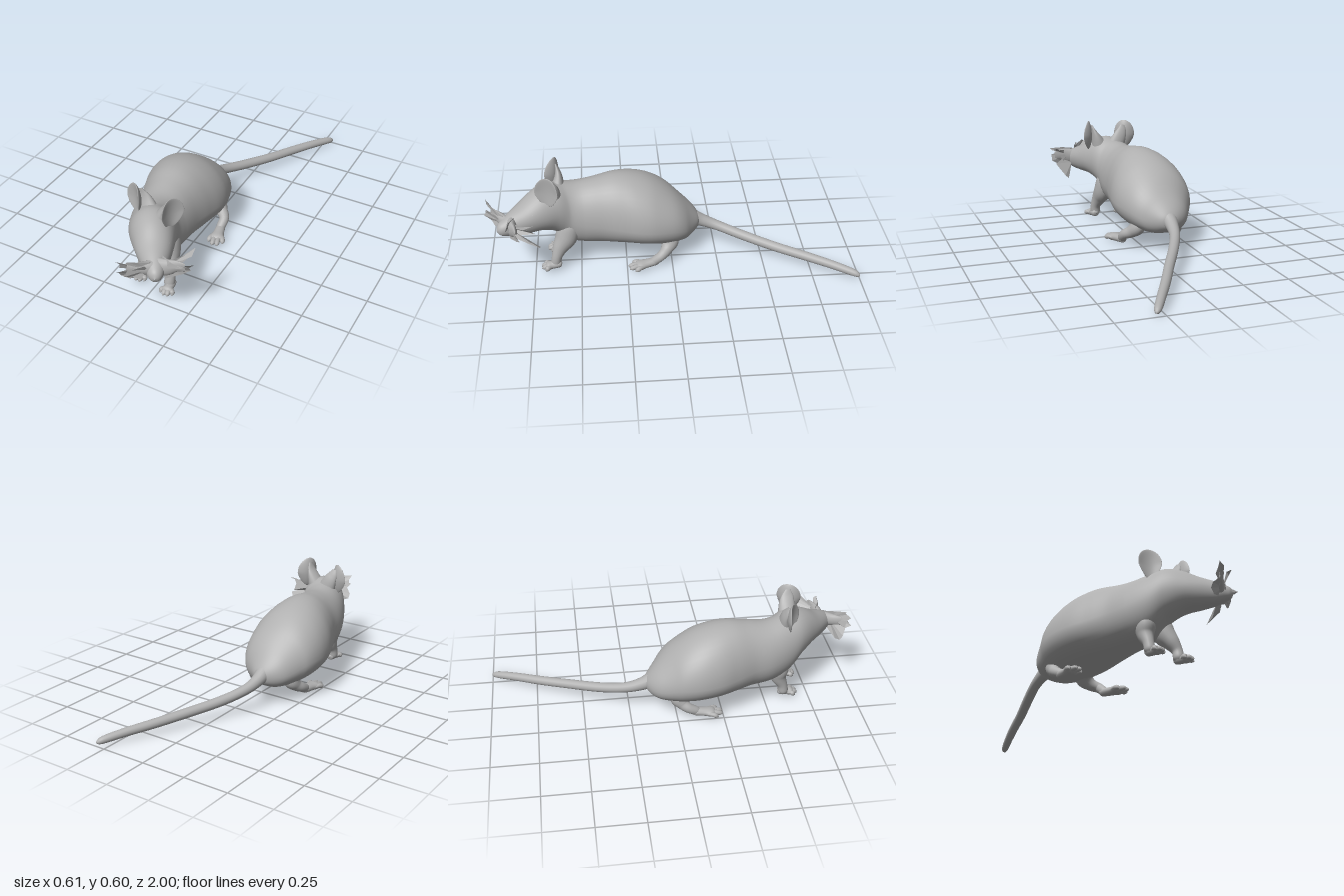
import * as THREE from 'three';

const grey = new THREE.MeshStandardMaterial({ color: 0xb0b0b0 });
grey.name = 'plain grey';
const greySheet = new THREE.MeshStandardMaterial({ color: 0xb0b0b0, side: THREE.DoubleSide });
greySheet.name = 'plain grey sheet';

const V = (x, y, z) => new THREE.Vector3(x, y, z);

function add(parent, name, geometry, material = grey) {
  const mesh = new THREE.Mesh(geometry, material);
  mesh.name = name;
  parent.add(mesh);
  return mesh;
}

// Smooth skin through stations [x, y, z, halfWidth, up, down]; up and down default to halfWidth.
// A belly exponent below 1 squares off the lower half of each ring.
function loft(stations, { ref = V(0, 1, 0), level = false, belly = 1, rings = 40, sides = 24 } = {}) {
  const path = new THREE.CatmullRomCurve3(stations.map(s => V(s[0], s[1], s[2])), false, 'catmullrom', 0.5);
  const size = new THREE.CatmullRomCurve3(
    stations.map(s => V(s[3], s[4] ?? s[3], s[5] ?? s[4] ?? s[3])), false, 'catmullrom', 0.5);
  const pos = [], index = [];
  for (let i = 0; i <= rings; i++) {
    const t = i / rings, c = path.getPoint(t), r = size.getPoint(t);
    const dir = path.getTangent(t);
    if (level) dir.setY(0).normalize();
    const side = ref.clone().cross(dir).normalize();
    const up = dir.clone().cross(side);
    for (let j = 0; j < sides; j++) {
      const a = j / sides * Math.PI * 2, s = Math.sin(a), k0 = Math.cos(a);
      const across = s < 0 ? Math.sign(k0) * Math.abs(k0) ** belly : k0;
      const p = c.clone().addScaledVector(side, across * Math.max(r.x, 0.0005))
        .addScaledVector(up, s * Math.max(s > 0 ? r.y : r.z, 0.0005));
      pos.push(p.x, p.y, p.z);
      if (i < rings) {
        const k = i * sides, n = (j + 1) % sides;
        index.push(k + j, k + n, k + sides + j, k + n, k + sides + n, k + sides + j);
      }
    }
  }
  const g = new THREE.BufferGeometry();
  g.setAttribute('position', new THREE.Float32BufferAttribute(pos, 3));
  g.setIndex(index);
  g.computeVertexNormals();
  return g;
}

// Cupped ear: a thin disc narrowing to a stalk, with its rim curling forward.
function earGeometry(w, h) {
  const g = new THREE.SphereGeometry(1, 32, 24), p = g.attributes.position;
  for (let i = 0; i < p.count; i++) {
    const x = p.getX(i), y = p.getY(i), z = p.getZ(i);
    const taper = y < 0 ? 1 + 0.3 * y : 1;
    p.setXYZ(i, x * w * taper, y * h, z * 0.01 + 0.03 * (x * x + 0.4 * y * y) - 0.015);
  }
  g.computeVertexNormals();
  return g;
}

// Ragged sheet: a fan from one root to a jagged edge.
function sheet(root, edge) {
  const pos = [];
  for (let i = 0; i + 1 < edge.length; i++) pos.push(...root, ...edge[i], ...edge[i + 1]);
  const g = new THREE.BufferGeometry();
  g.setAttribute('position', new THREE.Float32BufferAttribute(pos, 3));
  g.computeVertexNormals();
  return g;
}

// Paw with a flattened palm and stubby toes, facing +z from its heel.
function paw(name, x, y, z, yaw, length, width) {
  const g = new THREE.Group();
  g.name = name;
  g.position.set(x, y, z);
  g.rotation.y = yaw;
  add(g, 'palm', loft([
    [0, 0.008, -0.025, 0.001], [0, 0.008, -0.014, 0.022, 0.02],
    [0, 0.003, length * 0.35, width * 0.6, 0.022], [0, 0, length * 0.65, width * 0.8, 0.02],
    [0, -0.004, length * 0.82, 0.001]], { rings: 16, sides: 14 }));
  for (const k of [-1.5, -0.5, 0.5, 1.5]) {
    const reach = length * (Math.abs(k) > 1 ? 0.85 : 1.02), s = k * width;
    add(g, 'toe', loft([
      [s * 0.3, 0, length * 0.4, 0.008], [s * 0.42, 0.003, length * 0.62, 0.013],
      [s * 0.5, -0.003, reach - 0.012, 0.013], [s * 0.53, -0.011, reach, 0.001]], { rings: 10, sides: 10 }));
  }
  return g;
}

export function createModel() {
  const mouse = new THREE.Group();
  mouse.name = 'mouse';

  // Body, neck and head, turning towards +x at the nose
  add(mouse, 'bodyAndHead', loft([
    [-0.10, 0.18, -0.168, 0.001],
    [-0.10, 0.18, -0.15, 0.055, 0.045, 0.045],
    [-0.10, 0.185, -0.09, 0.13, 0.115, 0.085],
    [-0.093, 0.22, 0.0, 0.188, 0.172, 0.13],
    [-0.092, 0.235, 0.1, 0.215, 0.225, 0.138],
    [-0.088, 0.245, 0.2, 0.212, 0.25, 0.138],
    [-0.077, 0.255, 0.3, 0.187, 0.25, 0.14],
    [-0.065, 0.27, 0.4, 0.16, 0.22, 0.148],
    [-0.055, 0.28, 0.5, 0.145, 0.197, 0.152],
    [-0.036, 0.31, 0.58, 0.13, 0.177, 0.157],
    [0.0, 0.36, 0.65, 0.12, 0.145, 0.137],
    [0.045, 0.365, 0.72, 0.105, 0.12, 0.1],
    [0.09, 0.36, 0.79, 0.084, 0.08, 0.085],
    [0.128, 0.35, 0.85, 0.06, 0.06, 0.066],
    [0.154, 0.345, 0.89, 0.042, 0.042, 0.046],
    [0.168, 0.34, 0.915, 0.025, 0.028, 0.028],
    [0.174, 0.34, 0.928, 0.001]], { level: true, belly: 0.8, rings: 90, sides: 40 }));

  // Tail
  add(mouse, 'tail', loft([
    [-0.10, 0.20, -0.1, 0.05], [-0.10, 0.165, -0.18, 0.035], [-0.08, 0.135, -0.27, 0.028],
    [-0.02, 0.105, -0.4, 0.027], [0.07, 0.08, -0.57, 0.026], [0.15, 0.063, -0.73, 0.025],
    [0.22, 0.05, -0.86, 0.023], [0.275, 0.035, -0.96, 0.02], [0.293, 0.026, -0.99, 0.013],
    [0.30, 0.02, -1.0, 0.001]], { rings: 70, sides: 18 }));

  // Ears, splayed from the turned head
  for (const [x, y, z, yaw, roll, w, h] of [
    [-0.105, 0.515, 0.63, -0.55, 0.06, 0.062, 0.086],
    [0.11, 0.518, 0.655, 1.15, 0, 0.067, 0.085]]) {
    const ear = add(mouse, 'ear', earGeometry(w, h));
    ear.position.set(x, y, z);
    ear.rotation.set(0, yaw, roll, 'YXZ');
  }
  // Flaring ear backs that run down into the crown
  for (const stations of [
    [[-0.093, 0.575, 0.612, 0.012, 0.004], [-0.084, 0.54, 0.603, 0.03, 0.012],
      [-0.066, 0.5, 0.6, 0.043, 0.024], [-0.035, 0.43, 0.61, 0.06, 0.045]],
    [[0.092, 0.58, 0.648, 0.004, 0.014], [0.08, 0.545, 0.643, 0.012, 0.034],
      [0.062, 0.5, 0.638, 0.03, 0.045], [0.035, 0.43, 0.64, 0.055, 0.055]]]) {
    add(mouse, 'earBack', loft(stations, { ref: V(0, 0, 1), rings: 20, sides: 18 }));
  }

  // Closed eyes, low bumps on the cheeks
  for (const [x, z] of [[0.014, 0.785], [0.13, 0.735]]) {
    const eye = add(mouse, 'eye', new THREE.SphereGeometry(0.018, 16, 12));
    eye.position.set(x, 0.397, z);
  }

  // Front legs, fading into the chest
  for (const [x, z, toeIn] of [[-0.1, 0.6, 0.05], [0.076, 0.63, 0.1]]) {
    const inner = x * 0.75 - 0.015;
    add(mouse, 'frontLeg', loft([
      [inner * 0.6, 0.34, 0.54, 0.001], [inner * 0.7, 0.28, 0.55, 0.05, 0.055],
      [inner, 0.2, 0.572, 0.055, 0.062], [(inner + x) / 2, 0.14, z - 0.02, 0.042, 0.042, 0.046],
      [x, 0.09, z, 0.029], [x, 0.05, z + 0.008, 0.028], [x, 0.032, z + 0.01, 0.02]],
    { ref: V(0, 0, 1), rings: 36, sides: 20 }));
    mouse.add(paw('frontPaw', x + 0.006, 0.036, z, toeIn, 0.085, 0.041));
  }

  // Hind legs with long feet, fading into the flanks
  for (const [x, hip, y, yaw] of [[-0.222, -0.175, 0.036, -0.05], [0.088, 0.0, 0.024, 0.22]]) {
    add(mouse, 'hindLeg', loft([
      [hip, 0.22, 0.05, 0.001], [hip, 0.17, 0.035, 0.05, 0.07],
      [hip * 0.7 + x * 0.3, 0.12, 0.015, 0.045, 0.055],
      [hip * 0.35 + x * 0.65, 0.088, 0.03, 0.034, 0.034], [x, 0.068, 0.06, 0.027],
      [x, y + 0.012, 0.1, 0.024], [x, y, 0.125, 0.015]],
    { ref: V(0, 0, 1), rings: 36, sides: 20 }));
    mouse.add(paw('hindPaw', x, y, 0.1, yaw, 0.14, 0.05));
  }

  // Fleshy whisker pads spreading from the muzzle
  for (const stations of [
    [[0.12, 0.35, 0.85, 0.03, 0.05], [0.185, 0.36, 0.845, 0.026, 0.046, 0.05],
      [0.235, 0.37, 0.83, 0.014, 0.036, 0.03], [0.275, 0.37, 0.82, 0.004, 0.025]],
    [[0.15, 0.35, 0.86, 0.03, 0.045], [0.1, 0.365, 0.905, 0.024, 0.036],
      [0.065, 0.375, 0.94, 0.012, 0.028], [0.04, 0.385, 0.96, 0.004, 0.02]]]) {
    add(mouse, 'whiskerPad', loft(stations, { rings: 16, sides: 14 }));
  }

  // Ragged whisker tufts on both sides of the muzzle
  const nearRoot = [0.125, 0.36, 0.9], farRoot = [0.18, 0.36, 0.86];
  const tufts = [
    [nearRoot, [[0.13, 0.40, 0.89], [0.09, 0.418, 0.94], [0.055, 0.43, 0.97], [0.045, 0.42, 0.98],
      [0.0, 0.425, 0.99], [0.01, 0.40, 0.97], [0.0, 0.365, 0.96], [0.06, 0.37, 0.93]]],
    [nearRoot, [[0.10, 0.385, 0.92], [0.04, 0.38, 0.98], [0.01, 0.37, 1.0], [0.02, 0.35, 0.97],
      [-0.012, 0.32, 0.95], [-0.01, 0.295, 0.935], [0.03, 0.28, 0.92], [0.10, 0.31, 0.89]]],
    [nearRoot, [[0.12, 0.40, 0.93], [0.09, 0.41, 0.99], [0.06, 0.39, 0.98], [0.05, 0.36, 1.0],
      [0.07, 0.34, 0.96], [0.10, 0.32, 0.94]]],
    [farRoot, [[0.16, 0.41, 0.83], [0.22, 0.412, 0.86], [0.29, 0.408, 0.87], [0.285, 0.40, 0.85],
      [0.24, 0.385, 0.84], [0.295, 0.38, 0.82], [0.295, 0.345, 0.8], [0.255, 0.32, 0.82], [0.19, 0.30, 0.86]]],
    [farRoot, [[0.21, 0.40, 0.83], [0.255, 0.41, 0.78], [0.283, 0.43, 0.73], [0.29, 0.415, 0.78],
      [0.26, 0.39, 0.76], [0.25, 0.36, 0.72], [0.225, 0.34, 0.8]]],
    [[0.165, 0.32, 0.83], [[0.185, 0.30, 0.84], [0.195, 0.265, 0.77], [0.218, 0.25, 0.71],
      [0.24, 0.27, 0.7], [0.285, 0.335, 0.75], [0.23, 0.35, 0.81]]]];
  for (const [root, edge] of tufts) add(mouse, 'whiskerTuft', sheet(root, edge), greySheet);

  return mouse;
}
